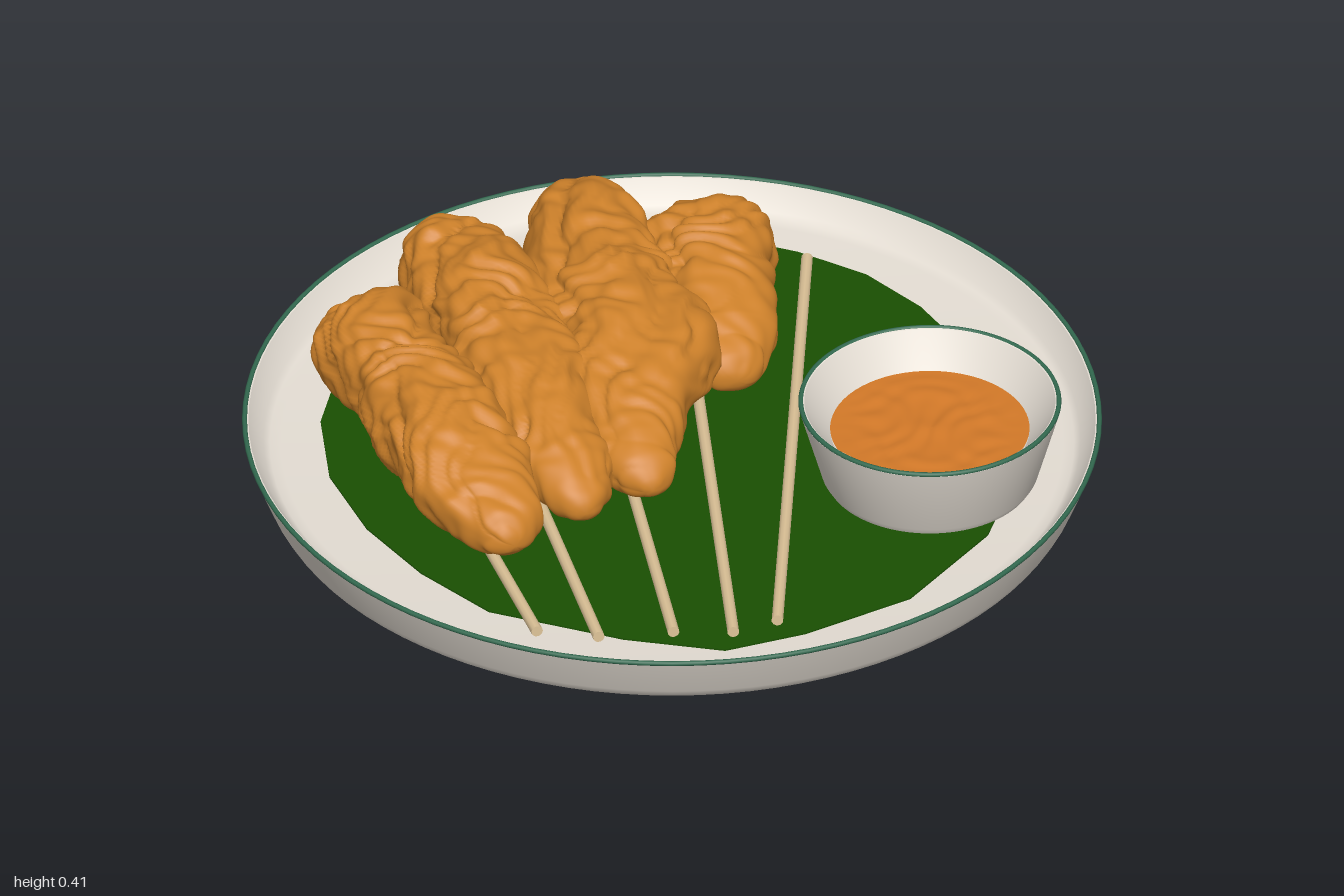
import * as THREE from 'three';
import { mergeVertices, toCreasedNormals } from 'three/addons/utils/BufferGeometryUtils.js';
import { ParametricGeometry } from 'three/addons/geometries/ParametricGeometry.js';

const mat = (name, color) => new THREE.MeshStandardMaterial({ name, color });
const ceramic = mat('ceramic', 0xe4ddd3);
const trim = mat('green trim', 0x336a50);
const leafGreen = mat('leaf green', 0x1a4f02);
const meatBrown = mat('grilled meat', 0xce812a);
const sauceOrange = mat('peanut sauce', 0xd37928);
const bamboo = mat('bamboo', 0xdcc297);

function mesh(name, geometry, material) {
  const m = new THREE.Mesh(geometry, material);
  m.name = name;
  return m;
}

// Turned dish with a coloured ring round its rim
function dish(name, profile, rimRadius, rimY, tube) {
  const g = new THREE.Group();
  g.name = name;
  const lathe = new THREE.LatheGeometry(profile.map(p => new THREE.Vector2(...p)), 96);
  const ring = new THREE.TorusGeometry(rimRadius, tube, 8, 96).rotateX(Math.PI / 2).translate(0, rimY, 0);
  g.add(mesh(name + 'Body', toCreasedNormals(lathe, 0.6), ceramic), mesh(name + 'Rim', ring, trim));
  return g;
}

// Parametric surface with its seam welded and smooth normals
function smoothSurface(fn, slices, stacks) {
  const g = new ParametricGeometry(fn, slices, stacks);
  g.deleteAttribute('uv');
  g.deleteAttribute('normal');
  const welded = mergeVertices(g, 1e-5);
  welded.computeVertexNormals();
  return welded;
}

// Creased lumps: warped waves, folds running diagonally, and ragged fine ridges
function lumps(x, y, z) {
  const wx = x + 0.05 * Math.sin(13 * z + 9 * y) + 0.015 * Math.sin(41 * z - 23 * y);
  const wz = z + 0.05 * Math.sin(15 * x - 11 * y) + 0.015 * Math.sin(37 * x + 31 * y);
  const fold = Math.sqrt(Math.abs(Math.sin(9 * wz + 8 * wx + 8 * y))) - 0.8;
  const knob = Math.sin(21 * wx + 4) * Math.sin(17 * wz + 1) * Math.cos(17 * y);
  const ridge = Math.abs(Math.sin(23 * wx + 5 * Math.sin(9 * wz) + 21 * y)) - 0.6;
  const fine = Math.sin(67 * wx + 33 * y) * Math.sin(61 * wz + 49 * y);
  return 0.2 * fold + 0.14 * knob + 0.07 * ridge + 0.04 * fine;
}

// Meat swept along stations of [x, z, half width, top height]; its underside drops towards the back
function meatGeometry(stations) {
  const spine = new THREE.CatmullRomCurve3(stations.map(([x, z]) => new THREE.Vector3(x, 0, z)));
  const size = new THREE.CatmullRomCurve3(stations.map(([, , w, top]) => new THREE.Vector3(w, top, 0)));
  return smoothSurface((u, v, target) => {
    const a = u * Math.PI * 2;
    const c = spine.getPoint(v), t = spine.getTangent(v), s = size.getPoint(v);
    const edge = Math.min(1, Math.min(v, 1 - v) / 0.07);
    const cap = Math.sqrt(1 - (1 - edge) ** 2);
    const base = THREE.MathUtils.lerp(0.16, 0.095, v);
    const half = (s.y - base) / 2;
    const co = Math.cos(a), si = Math.sin(a);
    const cx = Math.sign(co) * Math.abs(co) ** 0.85 * s.x;
    const cy = Math.sign(si) * Math.abs(si) ** 0.85 * half;
    const k = cap * (1 + lumps(c.x + t.z * cx, cy, c.z - t.x * cx));
    target.set(c.x + t.z * cx * k, base + half + cy * k, c.z - t.x * cx * k);
  }, 84, 150);
}

function stickGeometry([x0, z0], [x1, z1]) {
  const from = new THREE.Vector3(x0, 0.175, z0), to = new THREE.Vector3(x1, 0.098, z1);
  const dir = to.clone().sub(from);
  const g = new THREE.CylinderGeometry(0.014, 0.014, dir.length(), 10);
  g.applyQuaternion(new THREE.Quaternion().setFromUnitVectors(new THREE.Vector3(0, 1, 0), dir.normalize()));
  const mid = from.add(to).multiplyScalar(0.5);
  return g.translate(mid.x, mid.y, mid.z);
}

const SKEWERS = [
  { from: [-0.81, 0.54], to: [-0.31, -0.79], meat: [
    [-0.665, 0.27, 0.06, 0.25], [-0.635, 0.14, 0.12, 0.32], [-0.59, -0.05, 0.14, 0.38], [-0.54, -0.25, 0.135, 0.395],
    [-0.49, -0.42, 0.125, 0.37], [-0.44, -0.57, 0.145, 0.36], [-0.42, -0.69, 0.09, 0.28]] },
  { from: [-0.71, 0.645], to: [-0.1, -0.7], meat: [
    [-0.45, 0.26, 0.05, 0.24], [-0.41, 0.15, 0.1, 0.3], [-0.36, 0, 0.12, 0.35], [-0.28, -0.18, 0.14, 0.38],
    [-0.21, -0.4, 0.15, 0.39], [-0.14, -0.59, 0.14, 0.37], [-0.1, -0.7, 0.13, 0.36], [-0.05, -0.83, 0.06, 0.28]] },
  { from: [-0.56, 0.735], to: [0.2, -0.65], meat: [
    [-0.27, 0.28, 0.05, 0.24], [-0.23, 0.17, 0.1, 0.3], [-0.14, 0.02, 0.15, 0.36], [0, -0.14, 0.18, 0.385],
    [0.07, -0.32, 0.17, 0.39], [0.15, -0.5, 0.14, 0.38], [0.22, -0.62, 0.125, 0.37], [0.28, -0.76, 0.07, 0.3]] },
  { from: [-0.45, 0.82], to: [0.44, -0.55], meat: [
    [0.16, 0.04, 0.06, 0.23], [0.21, -0.08, 0.12, 0.3], [0.3, -0.24, 0.13, 0.35], [0.41, -0.39, 0.15, 0.355],
    [0.47, -0.52, 0.09, 0.28]] },
  { from: [-0.34, 0.845], to: [0.68, -0.37] },
];

// Leaf outline as [x, z]
const LEAF = [[0.11, -0.845], [0.3, -0.78], [0.59, -0.6], [0.7, -0.43], [0.77, -0.26], [0.79, -0.08], [0.76, 0.2],
  [0.68, 0.42], [0.55, 0.6], [0.35, 0.75], [0.05, 0.845], [-0.23, 0.81], [-0.42, 0.75], [-0.58, 0.57], [-0.76, 0.29],
  [-0.79, 0.07], [-0.78, -0.15], [-0.72, -0.37], [-0.6, -0.56], [-0.45, -0.69], [-0.25, -0.79], [-0.08, -0.83]];

export function createModel() {
  const model = new THREE.Group();
  model.name = 'skewerPlatter';

  // Plate
  model.add(dish('plate', [[0, 0], [0.932, 0], [0.948, 0.012], [0.958, 0.03], [0.998, 0.13], [0.995, 0.136],
    [0.985, 0.134], [0.95, 0.078], [0.935, 0.068], [0.91, 0.065], [0, 0.065]], 0.994, 0.134, 0.006));

  // Leaf liner
  const outline = new THREE.Shape(LEAF.map(([x, z]) => new THREE.Vector2(x, -z)));
  const leaf = new THREE.ExtrudeGeometry(outline, { depth: 0.004, bevelEnabled: false });
  model.add(mesh('leaf', leaf.rotateX(-Math.PI / 2).translate(0, 0.07, 0), leafGreen));

  // Sauce bowl
  const bowl = dish('bowl', [[0, 0.075], [0.225, 0.075], [0.243, 0.083], [0.253, 0.1], [0.305, 0.286], [0.3, 0.293],
    [0.292, 0.29], [0.258, 0.24], [0.231, 0.205], [0.19, 0.195], [0, 0.19]], 0.3, 0.289, 0.006);
  bowl.position.set(0.385, 0, 0.483);
  const sauce = smoothSurface((u, v, target) => {
    const x = v * 0.232 * Math.cos(u * Math.PI * 2), z = v * 0.232 * Math.sin(u * Math.PI * 2);
    const ripple = 0.004 * Math.sin(31 * x + 5 * Math.sin(17 * z)) * Math.sin(37 * z + 3 * Math.sin(23 * x));
    target.set(x, 0.213 + ripple * (1 - v ** 4), z);
  }, 64, 24);
  bowl.add(mesh('sauce', sauce, sauceOrange));
  model.add(bowl);

  // Skewers
  SKEWERS.forEach(({ from, to, meat }) => {
    const skewer = new THREE.Group();
    skewer.name = 'skewer';
    skewer.add(mesh('stick', stickGeometry(from, to), bamboo));
    if (meat) skewer.add(mesh('meat', meatGeometry(meat), meatBrown));
    model.add(skewer);
  });
  return model;
}
